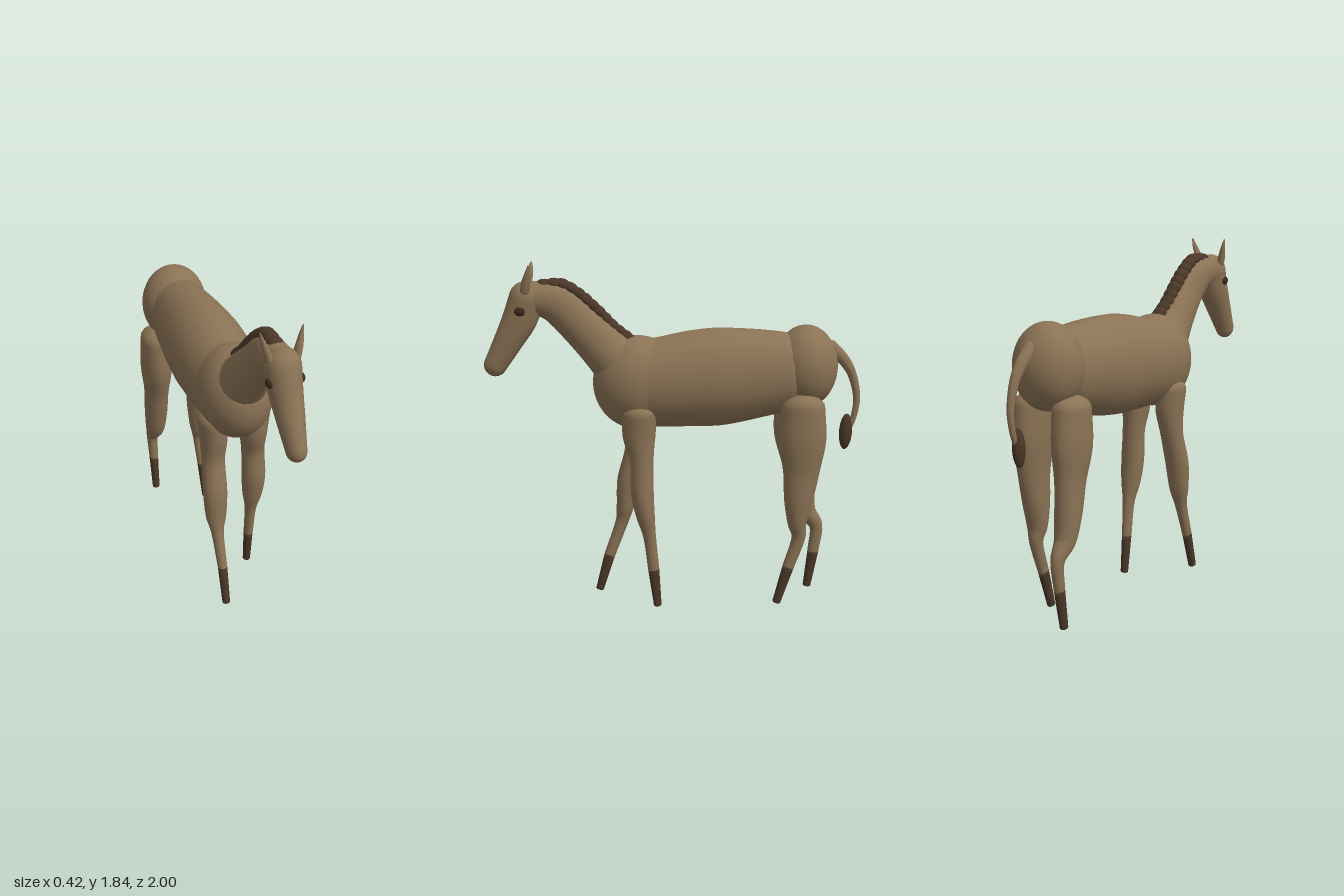
import * as THREE from 'three';

const coat = new THREE.MeshStandardMaterial({ color: 0x8b7355 });
coat.name = 'coatBrown';
const dark = new THREE.MeshStandardMaterial({ color: 0x4a3728 });
dark.name = 'darkBrown';
const eyeMat = new THREE.MeshStandardMaterial({ color: 0x3b2b20 });
eyeMat.name = 'eyeBrown';

// Smooth loft through rows of [x, y, z, sideRadius, depthRadius] with rounded ends.
function loft(rows, startCap = 0.9, endCap = 0.9, sides = 20) {
  const path = new THREE.CatmullRomCurve3(rows.map(r => new THREE.Vector3(r[0], r[1], r[2])), false, 'catmullrom');
  const radii = new THREE.CatmullRomCurve3(rows.map(r => new THREE.Vector3(r[3], r[4], 0)), false, 'catmullrom');
  const steps = (rows.length - 1) * 6, capSteps = 6;
  const rings = [];
  const ring = (t, scale, shift) => {
    const tan = path.getTangent(t).setX(0).normalize();
    const r = radii.getPoint(t);
    const c = path.getPoint(t).addScaledVector(tan, shift * Math.min(r.x, r.y));
    const n = tan.clone().cross(new THREE.Vector3(1, 0, 0));
    rings.push({ c, n, a: r.x * scale, b: r.y * scale });
  };
  const cap = k => Math.max(0.01, Math.cos((k / capSteps) * Math.PI / 2));
  const rise = k => Math.sin((k / capSteps) * Math.PI / 2);
  for (let k = capSteps; k > 0; k--) ring(0, cap(k), -rise(k) * startCap);
  for (let i = 0; i <= steps; i++) ring(i / steps, 1, 0);
  for (let k = 1; k <= capSteps; k++) ring(1, cap(k), rise(k) * endCap);

  const pos = [], index = [];
  rings.forEach(({ c, n, a, b }, i) => {
    for (let j = 0; j < sides; j++) {
      const th = (j / sides) * Math.PI * 2, s = Math.sin(th) * b;
      pos.push(c.x + Math.cos(th) * a, c.y + n.y * s, c.z + n.z * s);
      if (i === rings.length - 1) continue;
      const k = (j + 1) % sides, p = i * sides, q = p + sides;
      index.push(p + j, p + k, q + k, p + j, q + k, q + j);
    }
  });
  const g = new THREE.BufferGeometry();
  g.setAttribute('position', new THREE.Float32BufferAttribute(pos, 3));
  g.setIndex(index);
  g.computeVertexNormals();
  return g;
}

function ellipsoid(rx, ry, rz, w = 32, h = 24) {
  return new THREE.SphereGeometry(1, w, h).scale(rx, ry, rz);
}

export function createModel() {
  const model = new THREE.Group();
  model.name = 'horse';
  const add = (name, geometry, material, x = 0, y = 0, z = 0, parent = model) => {
    const m = new THREE.Mesh(geometry, material);
    m.name = name;
    m.position.set(x, y, z);
    parent.add(m);
    return m;
  };

  // Torso
  add('barrel', loft([
    [0, 1.22, 0.2, 0.185, 0.235], [0, 1.22, 0.08, 0.2, 0.24], [0, 1.237, -0.1, 0.207, 0.258],
    [0, 1.247, -0.25, 0.205, 0.262], [0, 1.262, -0.45, 0.185, 0.238], [0, 1.27, -0.62, 0.162, 0.21],
  ], 0.3, 0.2), coat);
  add('chest', ellipsoid(0.195, 0.25, 0.24), coat, 0, 1.22, 0.19);
  add('rump', ellipsoid(0.18, 0.22, 0.17), coat, 0, 1.3, -0.7);

  // Neck and head
  add('neck', loft([
    [0, 1.25, 0.22, 0.17, 0.17], [0, 1.375, 0.34, 0.12, 0.132], [0, 1.525, 0.485, 0.088, 0.113],
    [0, 1.64, 0.61, 0.077, 0.105], [0, 1.675, 0.74, 0.075, 0.085],
  ], 0.3, 0.5), coat);
  add('head', loft([
    [0, 1.67, 0.765, 0.088, 0.092], [0, 1.56, 0.805, 0.08, 0.09],
    [0, 1.45, 0.865, 0.068, 0.076], [0, 1.318, 0.94, 0.05, 0.06],
  ], 1, 1.15), coat);

  // Ears and eyes
  for (const [side, s] of [['left', 1], ['right', -1]]) {
    add(side + 'Ear', loft([
      [s * 0.068, 1.71, 0.768, 0.02, 0.026], [s * 0.08, 1.755, 0.762, 0.018, 0.024],
      [s * 0.095, 1.805, 0.75, 0.011, 0.016], [s * 0.106, 1.845, 0.744, 0.003, 0.005],
    ], 0.9, 0.9, 12), coat);
    add(side + 'Eye', ellipsoid(0.018, 0.024, 0.029, 20, 14), eyeMat, s * 0.078, 1.61, 0.797);
  }

  // Mane: overlapping tufts along the crest
  const crest = new THREE.CatmullRomCurve3([
    [0.215, 1.435], [0.31, 1.508], [0.41, 1.61], [0.5, 1.69], [0.585, 1.738], [0.675, 1.735],
  ].map(([z, y]) => new THREE.Vector3(0, y, z)));
  const mane = new THREE.Group();
  mane.name = 'mane';
  model.add(mane);
  for (let i = 0; i < 13; i++) {
    const p = crest.getPointAt(i / 12), t = crest.getTangentAt(i / 12);
    add('maneTuft', ellipsoid(0.041, 0.034, 0.045, 18, 12), dark, 0, p.y, p.z, mane)
      .rotation.x = -Math.atan2(t.y, t.z);
  }

  // Tail
  add('tail', loft([
    [0, 1.4, -0.83, 0.036, 0.04], [0, 1.335, -0.9, 0.03, 0.032], [0, 1.25, -0.952, 0.024, 0.024],
    [0, 1.13, -0.98, 0.018, 0.019], [0, 1.03, -0.97, 0.015, 0.016], [0, 0.97, -0.95, 0.014, 0.015],
  ], 0.9, 0.9, 14), coat);
  add('tailTuft', ellipsoid(0.03, 0.098, 0.035), dark, 0, 0.938, -0.927).rotation.x = -0.05;

  // Legs: rows of [x, y, z, sideRadius, depthRadius]; the last two rows form the sock
  const shoulder = [[0.122, 1.07, 0.19, 0.076, 0.09], [0.112, 0.95, 0.19, 0.072, 0.086]];
  const legs = {
    frontLeftLeg: [1, [...shoulder, [0.118, 0.82, 0.177, 0.062, 0.062], [0.125, 0.65, 0.176, 0.065, 0.061],
      [0.127, 0.52, 0.16, 0.055, 0.05], [0.127, 0.4, 0.138, 0.032, 0.034],
      [0.125, 0.215, 0.117, 0.025, 0.03], [0.126, 0.012, 0.096, 0.021, 0.021]]],
    frontRightLeg: [-1, [...shoulder, [0.118, 0.82, 0.203, 0.062, 0.062], [0.125, 0.65, 0.246, 0.065, 0.061],
      [0.127, 0.5, 0.265, 0.055, 0.048], [0.127, 0.4, 0.287, 0.033, 0.035],
      [0.125, 0.215, 0.354, 0.025, 0.03], [0.126, 0.016, 0.411, 0.021, 0.022]]],
    hindLeftLeg: [1, [[0.122, 1.1, -0.675, 0.086, 0.115], [0.126, 0.92, -0.673, 0.085, 0.127],
      [0.125, 0.75, -0.672, 0.068, 0.098], [0.125, 0.6, -0.66, 0.066, 0.078],
      [0.125, 0.47, -0.655, 0.055, 0.052], [0.125, 0.38, -0.665, 0.034, 0.037],
      [0.125, 0.215, -0.613, 0.026, 0.031], [0.126, 0.016, -0.553, 0.021, 0.022]]],
    hindRightLeg: [-1, [[0.122, 1.1, -0.675, 0.086, 0.115], [0.126, 0.92, -0.68, 0.085, 0.125],
      [0.125, 0.75, -0.695, 0.068, 0.095], [0.125, 0.6, -0.713, 0.066, 0.076],
      [0.125, 0.46, -0.742, 0.055, 0.056], [0.125, 0.365, -0.803, 0.034, 0.037],
      [0.125, 0.215, -0.79, 0.026, 0.031], [0.126, 0.014, -0.76, 0.021, 0.022]]],
  };
  for (const [name, [s, rows]] of Object.entries(legs)) {
    const leg = new THREE.Group();
    leg.name = name;
    model.add(leg);
    const placed = rows.map(r => [s * r[0], ...r.slice(1)]);
    add('upperLeg', loft(placed.slice(0, -1), 0.8, 0.05), coat, 0, 0, 0, leg);
    add('sock', loft(placed.slice(-2), 0.02, 0.4), dark, 0, 0, 0, leg);
  }

  return model;
}
